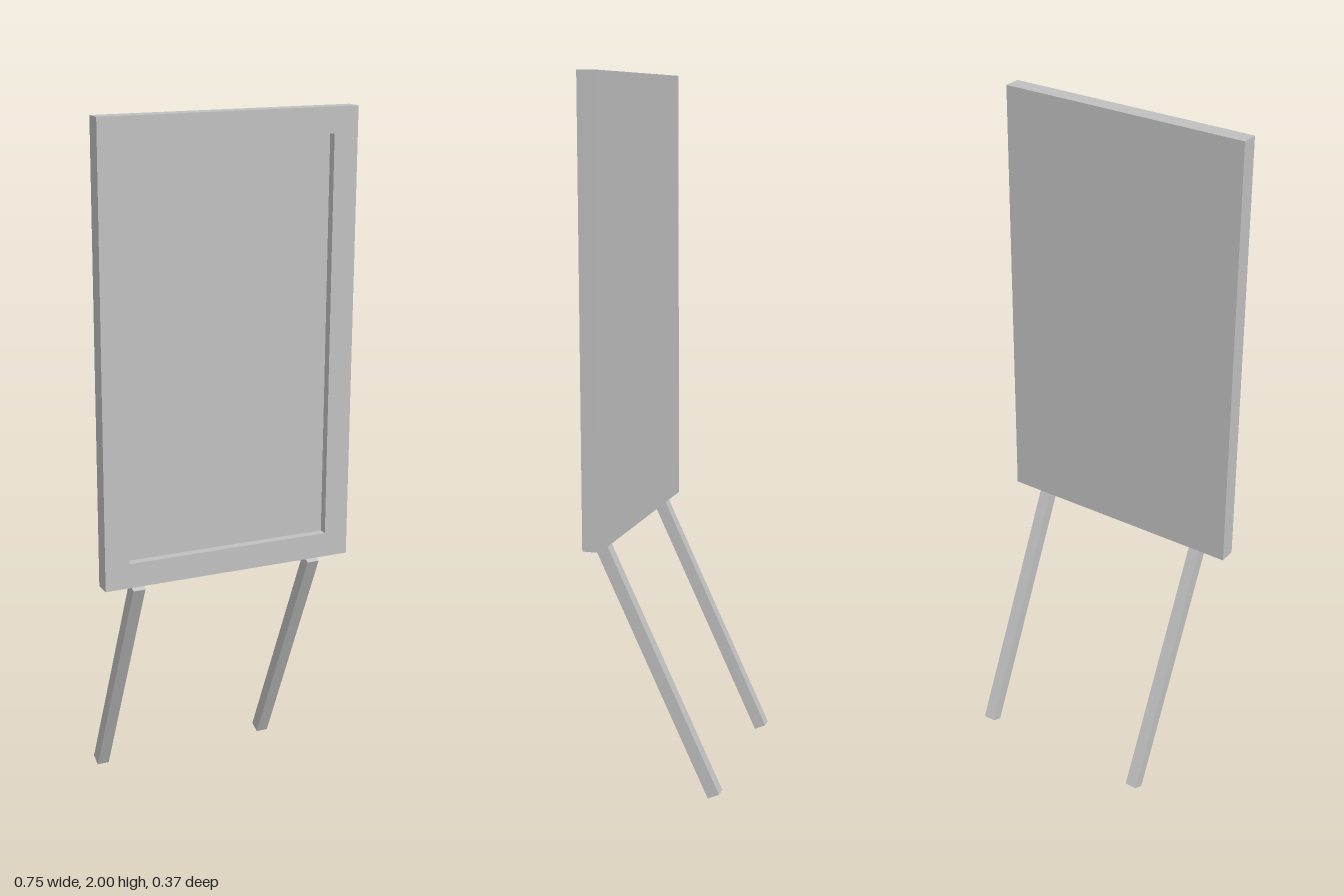
import * as THREE from 'three';

export function createModel() {
  const group = new THREE.Group();
  const grey = new THREE.MeshStandardMaterial({ color: 0xc0c0c0 });
  grey.name = 'grey';

  const add = (name, geometry, x, y, z) => {
    const mesh = new THREE.Mesh(geometry, grey);
    mesh.name = name;
    mesh.position.set(x, y, z);
    group.add(mesh);
    return mesh;
  };

  const rectangle = (Type, w, h) => new Type([
    new THREE.Vector2(-w / 2, -h / 2), new THREE.Vector2(w / 2, -h / 2),
    new THREE.Vector2(w / 2, h / 2), new THREE.Vector2(-w / 2, h / 2),
  ]);

  // Upright board: solid back with a raised border in front
  const width = 0.75, height = 1.286, half = 0.025;
  const boardY = 2 - height / 2, backZ = 0.133;
  add('backPanel', new THREE.BoxGeometry(width, height, half), 0, boardY, backZ + half / 2);

  const border = rectangle(THREE.Shape, width, height);
  border.holes.push(rectangle(THREE.Path, 0.608, 1.143));
  add('frontBorder', new THREE.ExtrudeGeometry(border, { depth: half, bevelEnabled: false }),
    0, boardY, backZ + half);

  // Two square legs slanting backwards from the bottom edge
  for (const side of [-1, 1]) {
    const leg = add(side > 0 ? 'leftLeg' : 'rightLeg',
      new THREE.BoxGeometry(0.036, 0.771, 0.036), side * 0.272, 0.357, -0.0045);
    leg.rotation.x = THREE.MathUtils.degToRad(25);
  }

  return group;
}
